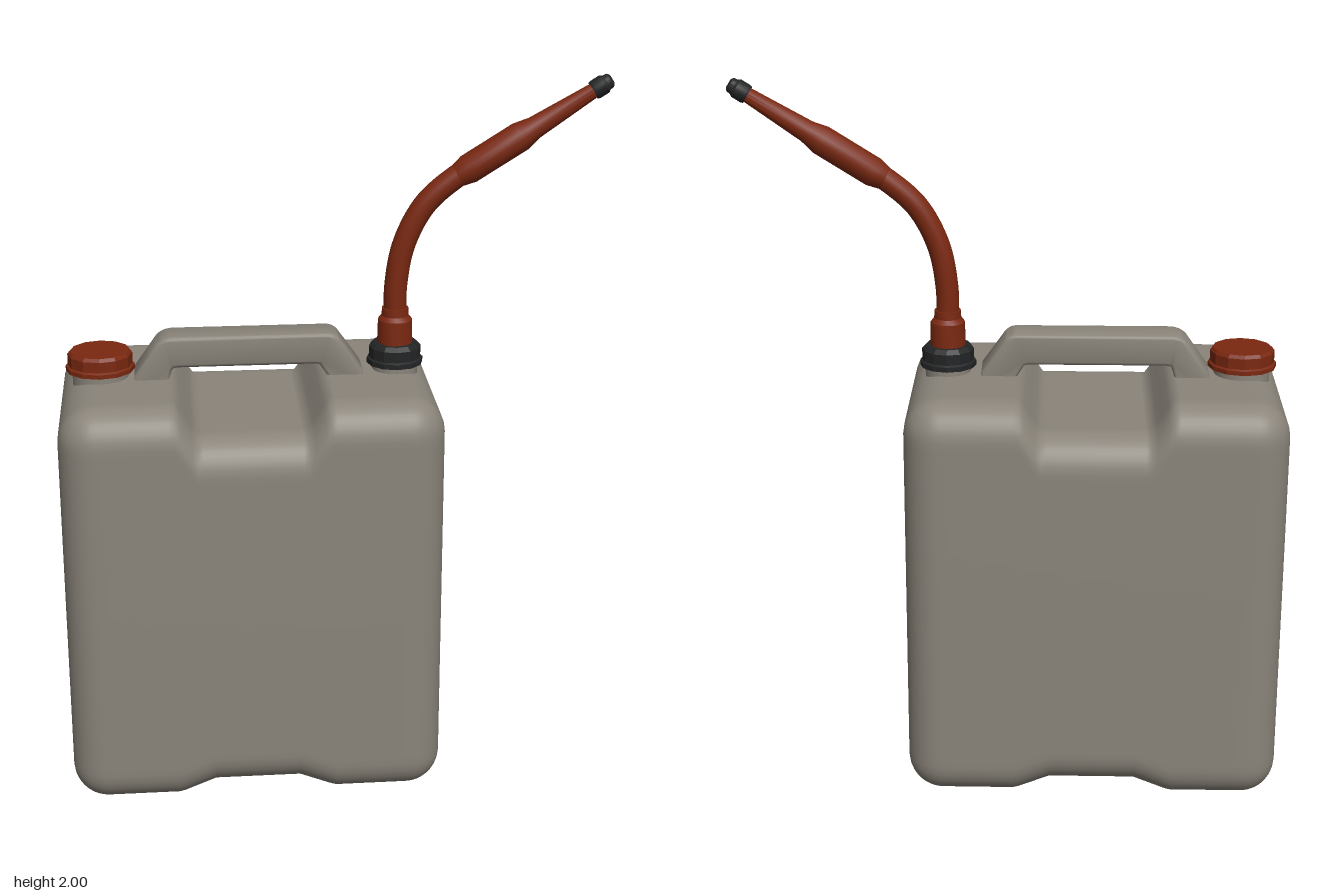
import * as THREE from 'three';
import { mergeVertices, toCreasedNormals } from 'three/addons/utils/BufferGeometryUtils.js';

const { clamp, smoothstep } = THREE.MathUtils;

export function createModel() {
  const group = new THREE.Group();
  const mat = (name, color) => new THREE.MeshStandardMaterial({ name, color });
  const grey = mat('greyPlastic', 0x8a847a);
  const red = mat('redPlastic', 0x7a2810);
  const black = mat('blackPlastic', 0x232425);

  const add = (name, geometry, material, x = 0, y = 0, z = 0) => {
    const mesh = new THREE.Mesh(geometry, material);
    mesh.name = name;
    mesh.position.set(x, y, z);
    group.add(mesh);
    return mesh;
  };
  const lathe = (points, sides, crease = 0.6) => toCreasedNormals(
    new THREE.LatheGeometry(points.map(([r, y]) => new THREE.Vector2(r, y)), sides), crease);

  // Canister: rounded box with a hand recess on top and crossed grooves below
  add('canister', canisterGeometry(), grey, -0.245, 0, 0);

  // Carry handle: bevelled bridge over the hand recess
  const bridge = new THREE.Shape();
  bridge.moveTo(-0.555, 1.15);
  bridge.lineTo(-0.55, 1.19);
  bridge.lineTo(-0.49, 1.275);
  bridge.quadraticCurveTo(-0.475, 1.29, -0.45, 1.29);
  bridge.lineTo(-0.025, 1.29);
  bridge.quadraticCurveTo(-0.005, 1.29, 0.005, 1.275);
  bridge.lineTo(0.065, 1.19);
  bridge.lineTo(0.07, 1.15);
  bridge.lineTo(-0.03, 1.15);
  bridge.lineTo(-0.015, 1.18);
  bridge.lineTo(-0.035, 1.212);
  bridge.quadraticCurveTo(-0.042, 1.222, -0.06, 1.222);
  bridge.lineTo(-0.435, 1.222);
  bridge.quadraticCurveTo(-0.458, 1.222, -0.464, 1.212);
  bridge.lineTo(-0.475, 1.18);
  bridge.lineTo(-0.455, 1.15);
  bridge.closePath();
  const handle = new THREE.ExtrudeGeometry(bridge, {
    depth: 0.084, bevelThickness: 0.012, bevelSize: 0.01, bevelSegments: 3, curveSegments: 6,
  });
  add('handle', toCreasedNormals(handle, 0.7), grey, 0, 0, -0.042);

  // Filler neck and faceted screw cap
  add('fillerNeck', new THREE.CylinderGeometry(0.078, 0.078, 0.07, 24), grey, -0.655, 1.185, 0);
  add('fillerCap', lathe([[0, 0], [0.096, 0], [0.096, 0.012], [0.09, 0.016],
    [0.09, 0.046], [0.083, 0.055], [0, 0.055]], 12, 0.3), red, -0.655, 1.2, 0);

  // Spout neck and faceted locking nut
  add('spoutNeck', new THREE.CylinderGeometry(0.064, 0.064, 0.07, 20), grey, 0.17, 1.175, 0);
  add('lockingNut', lathe([[0, 0], [0.079, 0], [0.079, 0.014], [0.073, 0.018],
    [0.073, 0.048], [0.062, 0.06], [0, 0.06]], 12, 0.3), black, 0.17, 1.197, 0);

  // Stepped collar at the foot of the spout
  add('spoutCollar', lathe([[0, 0], [0.05, 0], [0.048, 0.07], [0.038, 0.082],
    [0.037, 0.104], [0, 0.104]], 16), red, 0.17, 1.253, 0);

  // Bent spout pipe
  const start = new THREE.Vector3(0.33, 1.722, 0);
  const end = new THREE.Vector3(0.75, 1.983, 0);
  const dir = end.clone().sub(start).normalize();
  const path = new THREE.CatmullRomCurve3([
    new THREE.Vector3(0.17, 1.33, 0), new THREE.Vector3(0.171, 1.42, 0),
    new THREE.Vector3(0.193, 1.54, 0), new THREE.Vector3(0.25, 1.65, 0),
    start, start.clone().addScaledVector(dir, 0.05),
  ]);
  add('spoutPipe', new THREE.TubeGeometry(path, 32, 0.032, 14), red);

  // Straight nozzle with thick grip, taper and black tip
  const turn = new THREE.Quaternion().setFromUnitVectors(new THREE.Vector3(0, 1, 0), dir);
  const along = (name, points, material) => {
    const mesh = add(name, lathe(points, 14), material);
    mesh.position.copy(start);
    mesh.quaternion.copy(turn);
  };
  along('spoutNozzle', [[0, 0.01], [0.032, 0.01], [0.041, 0.045], [0.041, 0.21],
    [0.031, 0.255], [0.02, 0.455], [0, 0.455]], red);
  along('spoutTip', [[0, 0.44], [0.025, 0.44], [0.027, 0.447], [0.027, 0.475],
    [0.022, 0.482], [0.021, 0.493], [0.014, 0.499], [0, 0.499]], black);

  return group;
}

function canisterGeometry() {
  const w = 1.05, h = 1.18, d = 0.69, r = 0.1;
  let g = new THREE.BoxGeometry(w, h, d, 70, 48, 46);
  g.deleteAttribute('uv');
  g.deleteAttribute('normal');
  g = mergeVertices(g, 1e-5);
  const pos = g.attributes.position;
  const p = new THREE.Vector3(), inner = new THREE.Vector3();
  const ramp = (v, a, b) => clamp((v - a) / (b - a), 0, 1);
  for (let i = 0; i < pos.count; i++) {
    p.fromBufferAttribute(pos, i);
    // Round all edges and corners
    inner.set(clamp(p.x, r - w / 2, w / 2 - r), clamp(p.y, r - h / 2, h / 2 - r),
      clamp(p.z, r - d / 2, d / 2 - r));
    p.sub(inner).setLength(r).add(inner);
    p.y += h / 2;
    const y = p.y;
    // Hand recess across the top
    const dip = 1 - ramp(Math.abs(p.x), 0.152, 0.207);
    p.y -= 0.087 * dip * smoothstep(y, 0.8, 1.08);
    // Crossed grooves under the base
    const gx = 1 - ramp(Math.abs(p.x), 0.12, 0.22);
    const gz = 1 - ramp(Math.abs(p.z), 0.065, 0.145);
    p.y += 0.04 * Math.max(gx, gz) * (1 - smoothstep(y, 0.08, 0.3));
    pos.setXYZ(i, p.x, p.y, p.z);
  }
  g.computeVertexNormals();
  return g;
}
